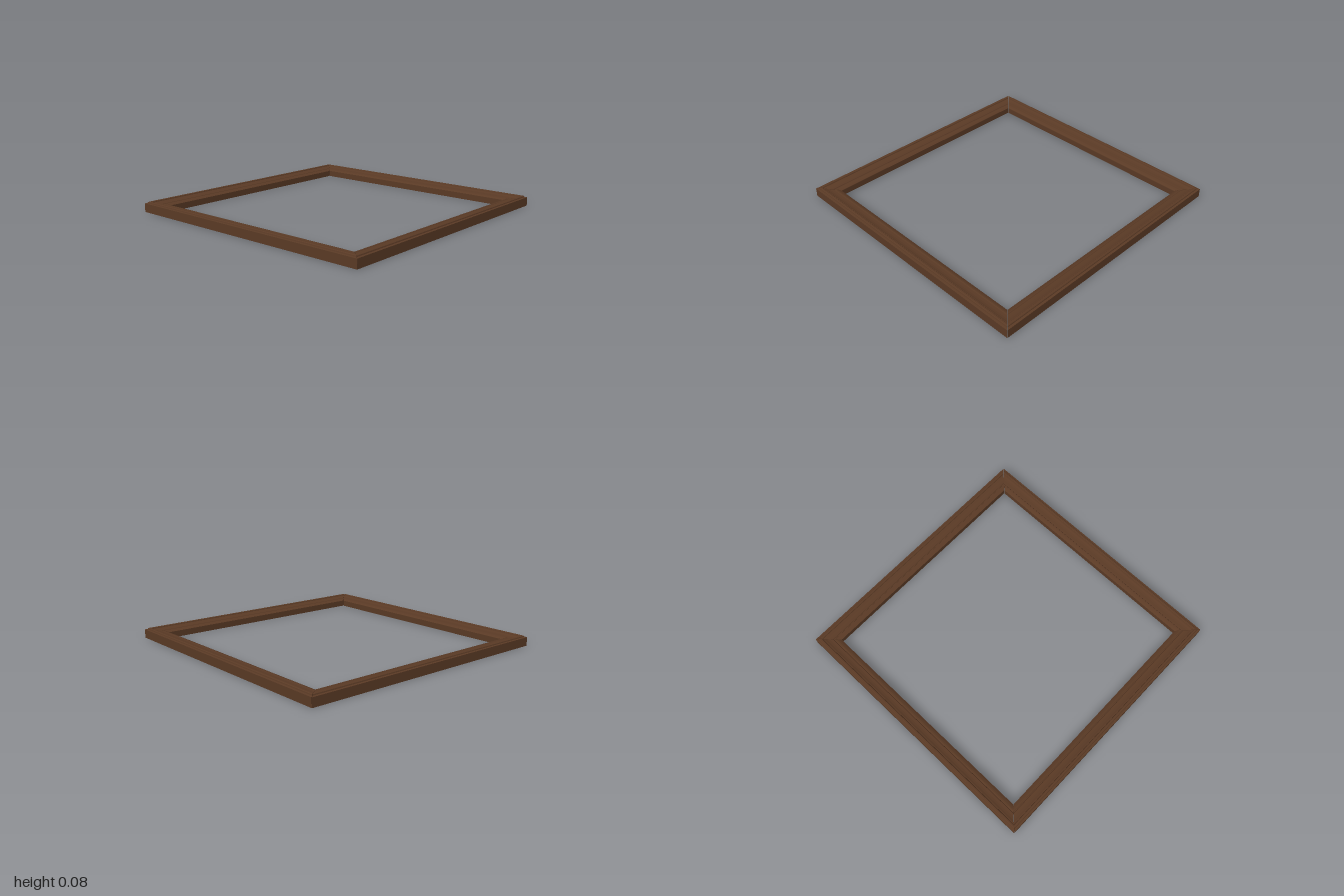
import * as THREE from 'three';

// Moulding cross-section: [distance from centre, height], counter-clockwise
const PROFILE = [
  [0.868, 0], [1, 0], [1, 0.064], [0.985, 0.066],
  // raised outer bead
  [0.983, 0.073], [0.979, 0.076], [0.969, 0.076], [0.965, 0.073], [0.963, 0.067],
  // shallow cove
  [0.956, 0.066], [0.945, 0.062], [0.93, 0.059], [0.912, 0.058],
  // groove and inner lip
  [0.909, 0.053], [0.904, 0.053], [0.901, 0.057], [0.892, 0.056], [0.88, 0.052], [0.868, 0.046],
];
const MITRE_GAP = 0.0015;

// One rail along z on the +x side, its ends cut at 45 degrees
function railGeometry() {
  const shape = new THREE.Shape(PROFILE.map(([r, y]) => new THREE.Vector2(r, y)));
  const geometry = new THREE.ExtrudeGeometry(shape, { depth: 2, bevelEnabled: false });
  geometry.translate(0, 0, -1);
  const pos = geometry.attributes.position;
  for (let i = 0; i < pos.count; i++) {
    pos.setZ(i, Math.sign(pos.getZ(i)) * (pos.getX(i) - MITRE_GAP));
  }
  geometry.computeVertexNormals();
  return geometry;
}

export function createModel() {
  const group = new THREE.Group();
  group.name = 'frame';
  const wood = new THREE.MeshStandardMaterial({ color: 0x5a3a25 });
  const geometry = railGeometry();

  // Four mitred rails around the opening
  ['leftRail', 'backRail', 'rightRail', 'frontRail'].forEach((name, i) => {
    const rail = new THREE.Mesh(geometry, wood);
    rail.name = name;
    rail.rotation.y = (i * Math.PI) / 2;
    group.add(rail);
  });
  return group;
}
